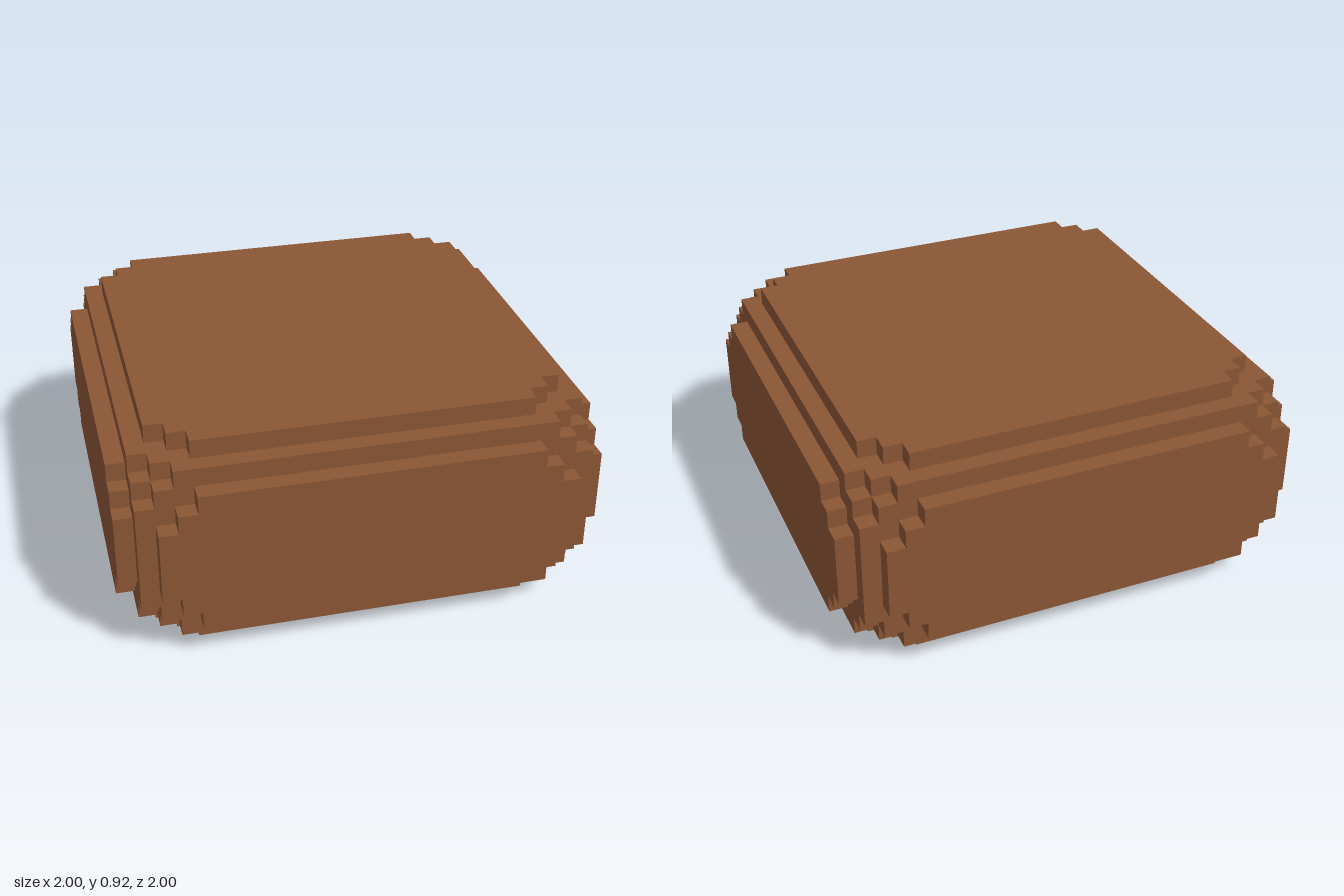
import * as THREE from 'three';

const U = 1 / 13; // one cube unit
const HALF = 13;  // half the width, in units

// Corner staircases per layer, outermost layer first: [inset in x, inset in z]
const STEPS = [
  [[2, 4], [3, 3], [4, 2]],
  [[1, 3], [2, 2], [3, 1]],
  [[0, 4], [1, 2], [2, 1], [4, 0]],
  [[0, 3], [1, 1], [3, 0]],
  [[0, 2], [1, 1], [2, 0]],
];

// Square outline with the same staircase turned to all four corners
function steppedOutline(steps) {
  const corner = [];
  steps.forEach(([i, k], n) => {
    corner.push([HALF - i, HALF - k]);
    if (n < steps.length - 1) corner.push([HALF - steps[n + 1][0], HALF - k]);
  });
  const points = [];
  for (let q = 0; q < 4; q++) {
    for (let [x, y] of corner) {
      for (let r = 0; r < q; r++) [x, y] = [-y, x];
      points.push(new THREE.Vector2(x * U, y * U));
    }
  }
  return new THREE.Shape(points);
}

export function createModel() {
  const model = new THREE.Group();
  model.name = 'roundedBlock';
  const brown = new THREE.MeshStandardMaterial({ color: 0x8b5635 });
  brown.name = 'brown';

  const addLayer = (name, steps, bottom, height) => {
    const geometry = new THREE.ExtrudeGeometry(steppedOutline(steps), {
      depth: height * U, bevelEnabled: false,
    });
    geometry.rotateX(-Math.PI / 2);
    const mesh = new THREE.Mesh(geometry, brown);
    mesh.name = name;
    mesh.position.y = bottom * U;
    model.add(mesh);
  };

  // Thin stepped layers mirrored at top and bottom, with a thick core between
  for (let d = 0; d < 4; d++) {
    addLayer(`bottomLayer${d + 1}`, STEPS[d], d, 1);
    addLayer(`topLayer${d + 1}`, STEPS[d], 11 - d, 1);
  }
  addLayer('middleCore', STEPS[4], 4, 4);
  return model;
}
